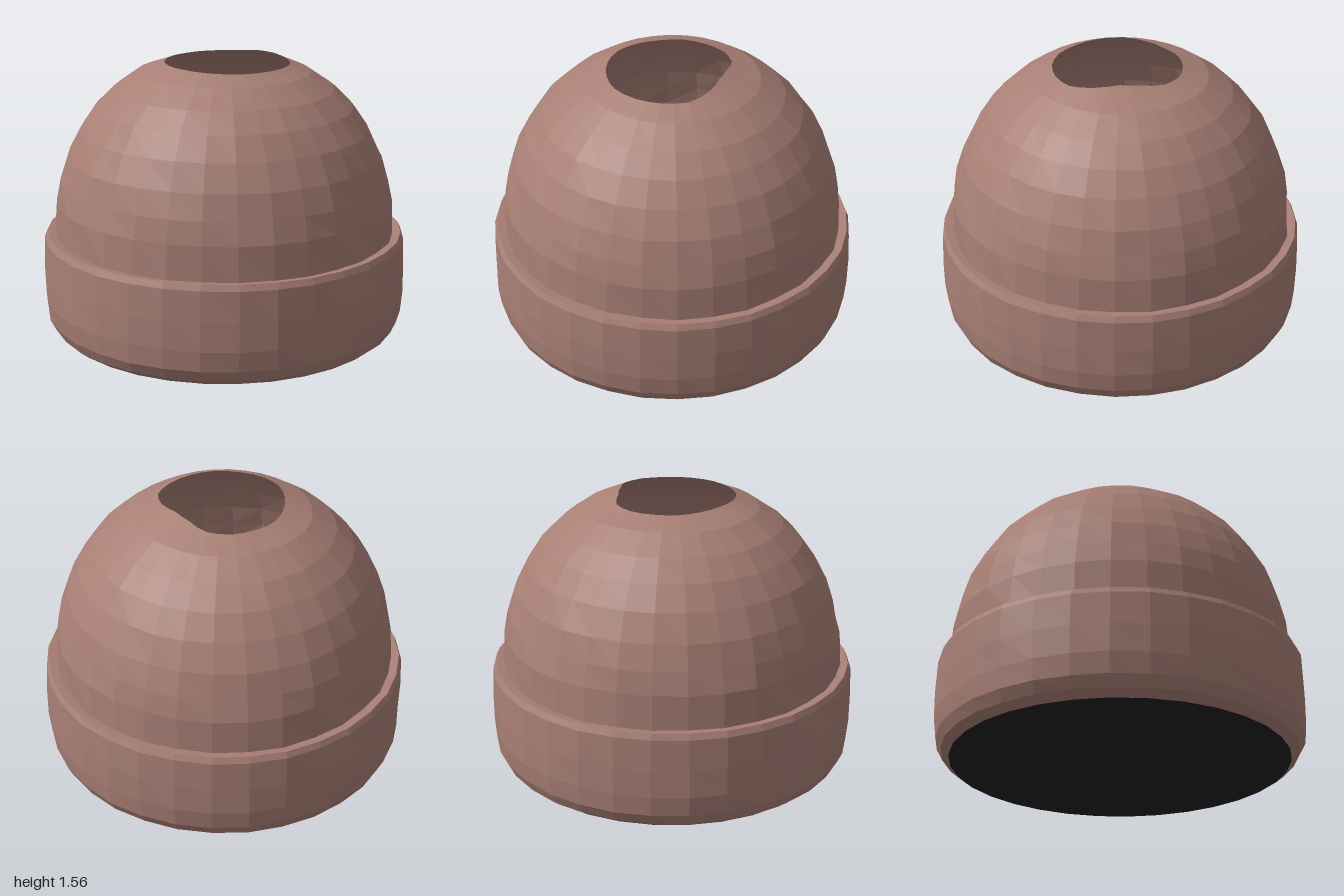
import * as THREE from 'three';

const SEGMENTS = 32;

// radius of the crown opening, sampled around the circle from +x towards +z
const OPENING = [0.285, 0.325, 0.36, 0.36, 0.36, 0.36, 0.35, 0.345, 0.34, 0.325, 0.32, 0.33, 0.33, 0.335, 0.325, 0.285];

function openingRadius(angle) {
  const n = OPENING.length;
  const t = ((angle / (Math.PI * 2)) * n + n * 2) % n;
  const i = Math.floor(t);
  return THREE.MathUtils.lerp(OPENING[i % n], OPENING[(i + 1) % n], t - i);
}

// lathe from [radius, height] pairs
function lathe(points) {
  return new THREE.LatheGeometry(points.map(([r, y]) => new THREE.Vector2(r, y)), SEGMENTS);
}

// gentle uneven knit: moves each vertex in or out a little, matching at the seam
function roughen(geometry, amount) {
  const p = geometry.attributes.position;
  for (let i = 0; i < p.count; i++) {
    const x = p.getX(i), y = p.getY(i), z = p.getZ(i);
    const a = Math.atan2(z, x);
    const k = 1 + amount * Math.sin(a * 11 + y * 17) * Math.cos(a * 5 - y * 9);
    p.setXYZ(i, x * k, y, z * k);
  }
  geometry.computeVertexNormals();
  return geometry;
}

export function createModel() {
  const model = new THREE.Group();
  model.name = 'knitCap';

  const wool = new THREE.MeshStandardMaterial({ color: 0xa87f75, flatShading: true, side: THREE.DoubleSide });
  wool.name = 'dusty rose wool';
  const dark = new THREE.MeshStandardMaterial({ color: 0x212121, flatShading: true, side: THREE.DoubleSide });
  dark.name = 'black lining';

  const add = (name, geometry, material) => {
    const mesh = new THREE.Mesh(geometry, material);
    mesh.name = name;
    model.add(mesh);
  };

  // domed crown, its last ring pulled onto the uneven opening
  const crown = lathe([
    [0.93, 0.61], [0.922, 0.8], [0.895, 0.92], [0.855, 1.05], [0.785, 1.19],
    [0.7, 1.31], [0.6, 1.41], [0.47, 1.5], [0.34, 1.55],
  ]);
  roughen(crown, 0.007);
  const p = crown.attributes.position;
  for (let i = 0; i < p.count; i++) {
    if (p.getY(i) < 1.54) continue;
    const a = Math.atan2(p.getZ(i), p.getX(i));
    const r = openingRadius(a);
    const lift = 0.025 * Math.max(0, Math.cos(a)) ** 6 + 0.01 * Math.max(0, -Math.cos(a)) ** 4;
    p.setXYZ(i, r * Math.cos(a), 1.548 + lift, r * Math.sin(a));
  }
  crown.computeVertexNormals();
  add('crown', crown, wool);

  // folded cuff with a rounded lower edge and a flat upper lip
  const cuff = lathe([
    [0.91, 0.065], [0.955, 0.1], [0.985, 0.16], [0.997, 0.27], [0.997, 0.42],
    [0.99, 0.59], [0.975, 0.622], [0.925, 0.615],
  ]);
  add('cuff', roughen(cuff, 0.003), wool);

  // shallow bulging underside, also seen through the opening
  add('underside', lathe([[0, 0.01], [0.4, 0.012], [0.7, 0.028], [0.91, 0.065]]), dark);

  // centre the footprint and stand it on the ground
  const box = new THREE.Box3().setFromObject(model);
  const c = box.getCenter(new THREE.Vector3());
  for (const mesh of model.children) mesh.geometry.translate(-c.x, -box.min.y, -c.z);
  return model;
}
